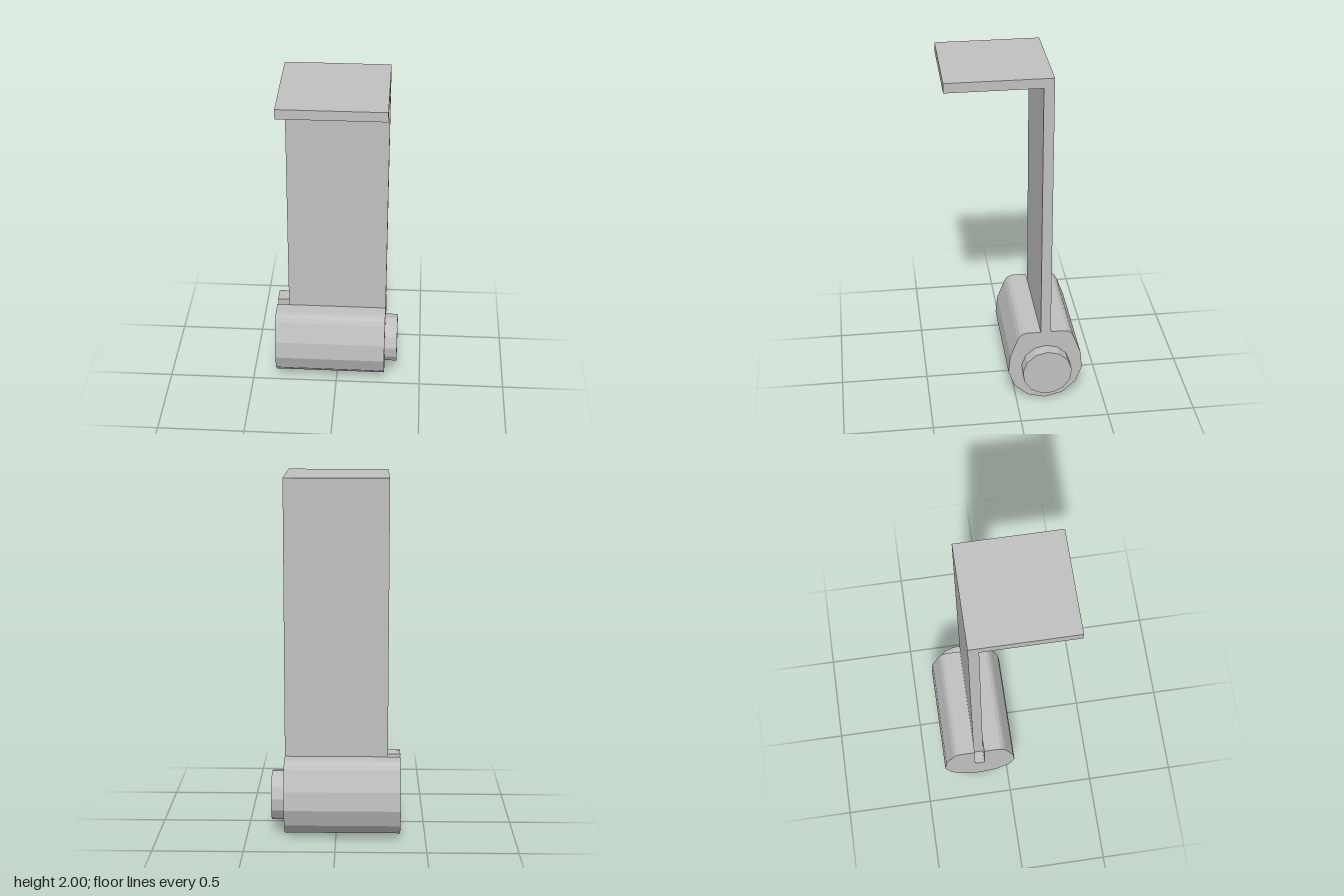
import * as THREE from 'three';

const grey = new THREE.MeshStandardMaterial({ color: 0xc0c0c0 });
grey.name = 'satin grey';

// Extrudes a (z, y) side profile along x, from xMin to xMax
function sideExtrude(name, points, xMin, xMax) {
  const shape = new THREE.Shape(points.map(([z, y]) => new THREE.Vector2(z, y)));
  const geometry = new THREE.ExtrudeGeometry(shape, { depth: xMax - xMin, bevelEnabled: false });
  geometry.rotateY(-Math.PI / 2).translate(xMax, 0, 0);
  const mesh = new THREE.Mesh(geometry, grey);
  mesh.name = name;
  return mesh;
}

export function createModel() {
  const group = new THREE.Group();
  group.name = 'bracket';

  const zMid = -0.167, half = 0.0285, axleY = 0.218;
  const right = 0.286;

  // Faceted barrel with a flat top and a slot for the strap
  const halfProfile = [
    [0.1, 0.026], [0.177, 0.095], [0.213, 0.192], [0.203, 0.296],
    [0.16, 0.41], [0.145, 0.434], [0.127, 0.446], [0.103, 0.45],
    [half, 0.45], [half, axleY],
  ];
  const barrel = [
    [zMid, 0],
    ...halfProfile.map(([u, y]) => [zMid + u, y]),
    ...halfProfile.slice().reverse().map(([u, y]) => [zMid - u, y]),
  ];
  group.add(sideExtrude('barrel', barrel, -0.36, right));

  // L-shaped strap: upright strip seated in the slot, with a shelf on top
  const back = zMid - half, front = zMid + half;
  group.add(sideExtrude('strap', [
    [back, axleY], [front, axleY], [front, 1.946],
    [0.38, 1.946], [0.38, 2], [back, 2],
  ], -0.289, right));

  // Round boss on the left end of the barrel
  const bossGeometry = new THREE.CylinderGeometry(0.141, 0.141, 0.073, 13).toNonIndexed();
  bossGeometry.computeVertexNormals();
  bossGeometry.rotateX(-Math.PI / 2).rotateY(Math.PI / 2);
  const boss = new THREE.Mesh(bossGeometry, grey);
  boss.name = 'endBoss';
  boss.position.set(right + 0.0365, axleY, zMid - 0.002);
  group.add(boss);

  return group;
}
